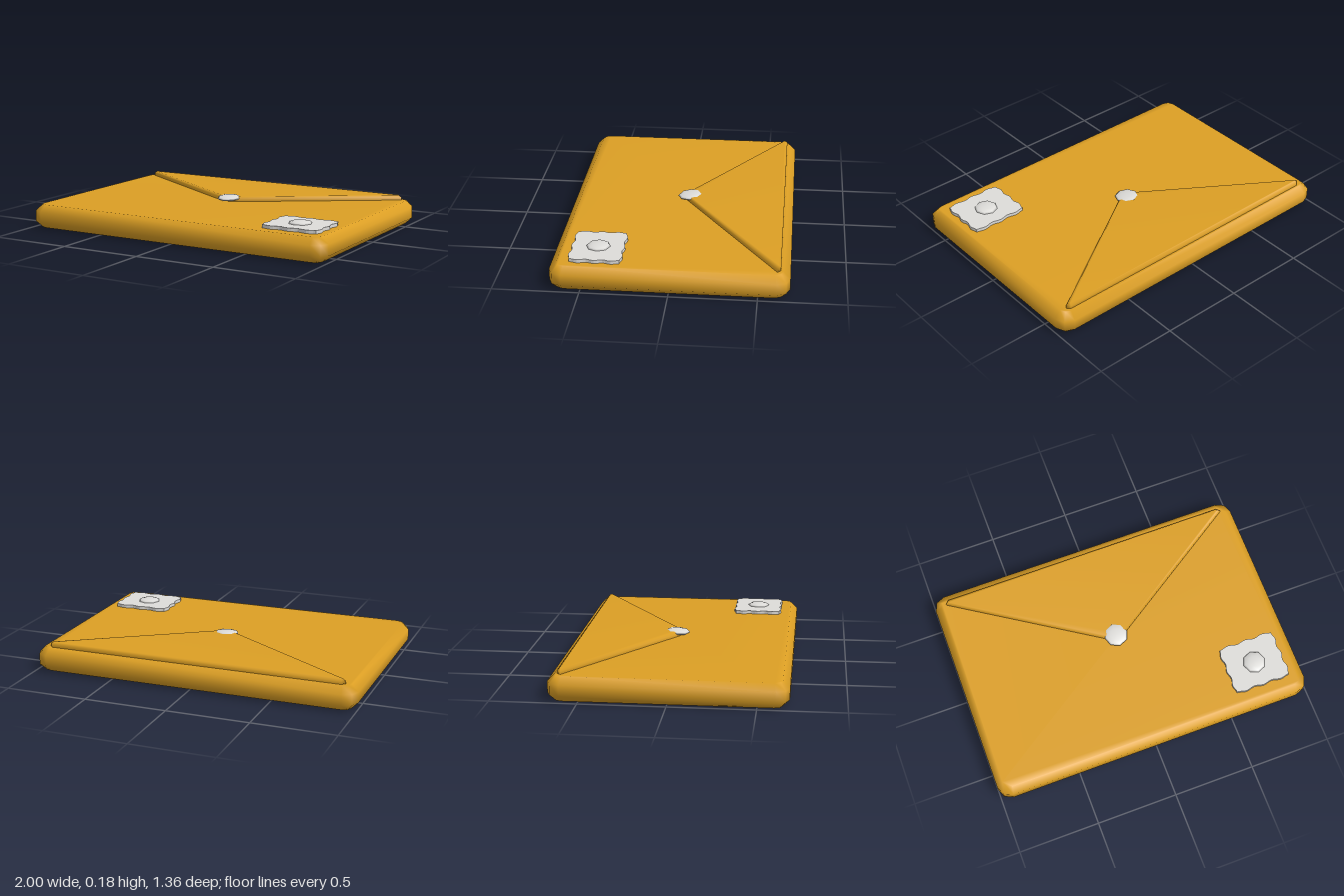
import * as THREE from 'three';
import { mergeVertices } from 'three/addons/utils/BufferGeometryUtils.js';

const amber = new THREE.MeshStandardMaterial({ color: 0xdc9f24 });
amber.name = 'amber paper';
const silver = new THREE.MeshStandardMaterial({ color: 0xdddcd9 });
silver.name = 'pale grey';

// Horizontal slab from an outline of [x, z] points, bevelled top and bottom
function slab(points, bottom, top, bevel) {
  const shape = new THREE.Shape(points.map(([x, z]) => new THREE.Vector2(x, -z)));
  const geometry = new THREE.ExtrudeGeometry(shape, {
    depth: top - bottom - 2 * bevel,
    bevelEnabled: bevel > 0,
    bevelSize: bevel,
    bevelThickness: bevel,
    bevelSegments: 1,
  });
  return geometry.translate(0, 0, bottom + bevel).rotateX(-Math.PI / 2);
}

// Share vertices so the bevels shade smoothly
function smooth(geometry) {
  geometry.deleteAttribute('normal');
  geometry.deleteAttribute('uv');
  const merged = mergeVertices(geometry, 1e-4);
  merged.computeVertexNormals();
  return merged;
}

// Rectangle outline with corners of two segments
function roundedRect(hx, hz, r) {
  const points = [];
  const signs = [[1, 1], [-1, 1], [-1, -1], [1, -1]];
  signs.forEach(([sx, sz], corner) => {
    for (let i = 0; i <= 2; i++) {
      const a = (corner + i / 2) * Math.PI / 2;
      points.push([sx * (hx - r) + r * Math.cos(a), sz * (hz - r) + r * Math.sin(a)]);
    }
  });
  return points;
}

// Rectangle outline with three scallops on each side
function scalloped(cx, cz, hx, hz, depth) {
  const points = [];
  const steps = 18;
  for (let side = 0; side < 4; side++) {
    for (let i = 0; i < steps; i++) {
      const t = i / steps;
      const wave = -depth * (1 + Math.cos(t * 6 * Math.PI)) / 2;
      const u = 2 * t - 1;
      const v = [[u * (hx - depth), -hz - wave], [hx + wave, u * (hz - depth)],
        [-u * (hx - depth), hz + wave], [-hx - wave, -u * (hz - depth)]][side];
      points.push([cx + v[0], cz + v[1]]);
    }
  }
  return points;
}

export function createModel() {
  const model = new THREE.Group();
  model.name = 'envelope';

  function add(name, geometry, material, parent = model) {
    const mesh = new THREE.Mesh(geometry, material);
    mesh.name = name;
    parent.add(mesh);
    return mesh;
  }

  // Envelope body
  add('body', smooth(slab(roundedRect(0.96, 0.64, 0.045), 0, 0.145, 0.04)), amber);

  // Triangular flap, its lower bevel sunk into the body
  const flap = [[-0.9, -0.613], [0.9, -0.613], [0.908, -0.606],
    [0.03, -0.035], [-0.03, -0.035], [-0.908, -0.606]];
  add('flap', smooth(slab(flap, 0.125, 0.175, 0.012)), amber);

  // Flattened seal, tipped down over the flap point
  const button = new THREE.SphereGeometry(1, 8, 6);
  const seal = add('seal', button, silver);
  seal.scale.set(0.074, 0.016, 0.074);
  seal.position.set(0, 0.166, -0.04);
  seal.rotation.x = 0.08;

  // Stamp with a raised round emblem
  const stamp = new THREE.Group();
  stamp.name = 'stamp';
  model.add(stamp);
  add('stampPlate', slab(scalloped(0.735, 0.425, 0.182, 0.155, 0.012), 0.14, 0.165, 0), silver, stamp);
  const emblem = add('stampEmblem', button, silver, stamp);
  emblem.scale.set(0.07, 0.018, 0.07);
  emblem.position.set(0.735, 0.165, 0.425);

  return model;
}
